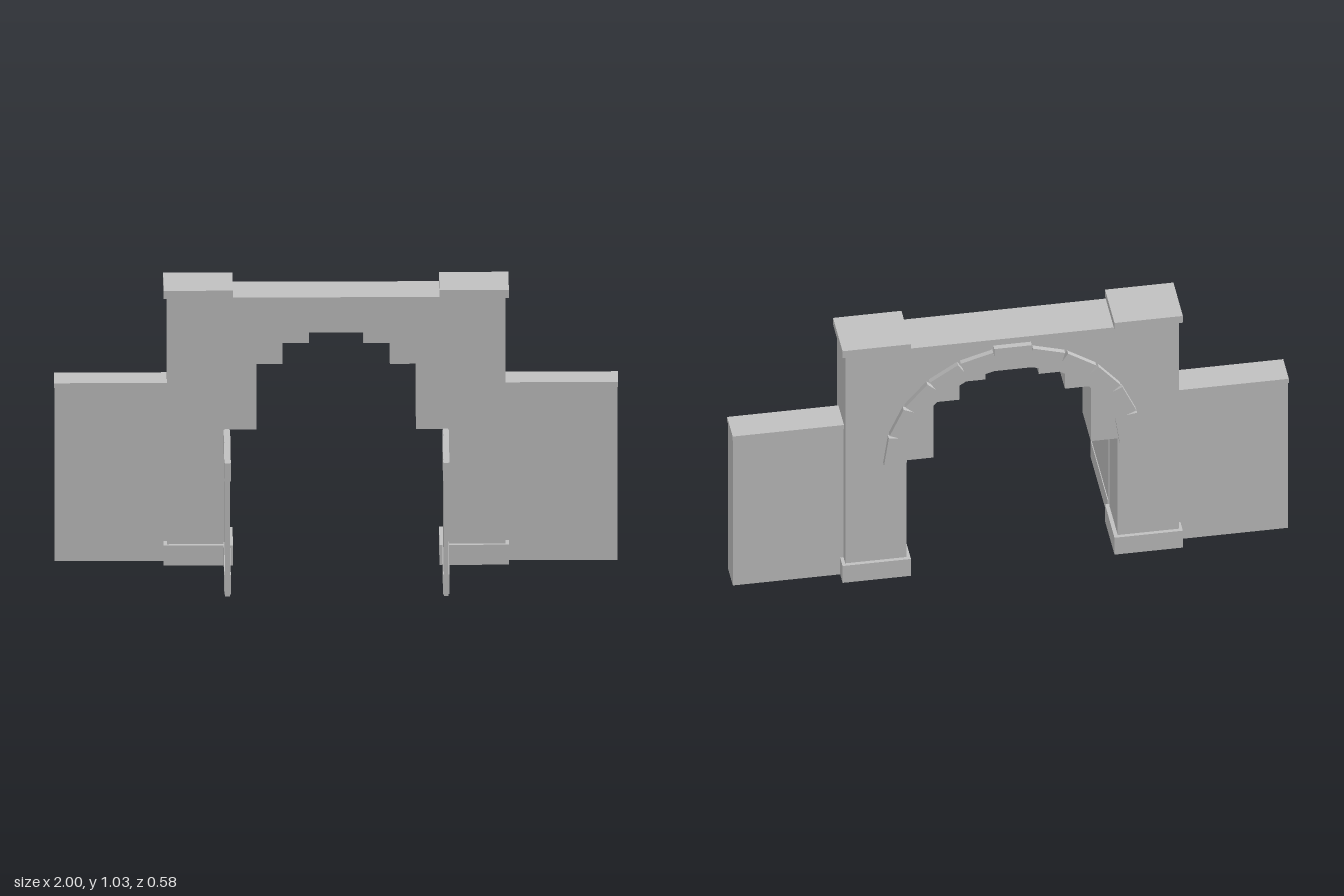
import * as THREE from 'three';

export function createModel() {
  const model = new THREE.Group();
  model.name = 'gateway';
  const stone = new THREE.MeshStandardMaterial({ color: 0xc0c0c0 });
  stone.name = 'grey stone';

  const add = (name, geometry) => {
    const mesh = new THREE.Mesh(geometry, stone);
    mesh.name = name;
    model.add(mesh);
    return mesh;
  };
  // Box given by its lower and upper limits on each axis
  const block = (name, x0, x1, y0, y1, z0, z1) => {
    const mesh = add(name, new THREE.BoxGeometry(Math.abs(x1 - x0), y1 - y0, z1 - z0));
    mesh.position.set((x0 + x1) / 2, (y0 + y1) / 2, (z0 + z1) / 2);
    return mesh;
  };

  // Gate body with a stepped opening, mirrored about x = 0
  const half = [[0.6, 1], [0.6, 0], [0.38, 0], [0.38, 0.505], [0.283, 0.505], [0.283, 0.75],
    [0.19, 0.75], [0.19, 0.828], [0.096, 0.828], [0.096, 0.868]];
  const outline = [...half, ...half.map(([x, y]) => [-x, y]).reverse()];
  const shape = new THREE.Shape(outline.map(([x, y]) => new THREE.Vector2(x, y)));
  const body = add('gateBody', new THREE.ExtrudeGeometry(shape, { depth: 0.172, bevelEnabled: false }));
  body.position.z = -0.27;

  for (const s of [1, -1]) {
    const side = s > 0 ? 'left' : 'right';
    // Pillar plinth and cap
    block(side + 'PillarBase', s * 0.366, s * 0.612, 0, 0.075, -0.284, -0.085);
    block(side + 'PillarCap', s * 0.366, s * 0.612, 1, 1.03, -0.284, -0.085);
    // Side wall with coping
    block(side + 'Wall', s * 0.6, s * 0.998, 0, 0.653, -0.233, -0.134);
    block(side + 'WallCoping', s * 0.6, s, 0.652, 0.67, -0.243, -0.126);
    // Open door leaf with slightly raised top and bottom rails
    block(side + 'Door', s * 0.379, s * 0.396, 0.014, 0.512, -0.082, 0.291);
    block(side + 'DoorBottomRail', s * 0.376, s * 0.399, 0.016, 0.09, -0.08, 0.28);
    block(side + 'DoorTopRail', s * 0.376, s * 0.399, 0.44, 0.51, -0.08, 0.28);
  }

  // Ring of arch stones on the back, with a taller keystone in the middle
  const count = 11;
  const radius = 0.42;
  const step = Math.PI / count;
  const width = 2 * radius * Math.tan(step / 2);
  for (let i = 0; i < count; i++) {
    const key = i === (count - 1) / 2;
    const angle = (i + 0.5) * step;
    const r = key ? 0.426 : radius;
    const mesh = add(key ? 'keystone' : 'archStone',
      new THREE.BoxGeometry(key ? 0.098 : 0.08, key ? 0.135 : width, 0.024));
    mesh.position.set(r * Math.cos(angle), 0.5 + r * Math.sin(angle), key ? -0.279 : -0.278);
    mesh.rotation.z = angle;
  }
  return model;
}
